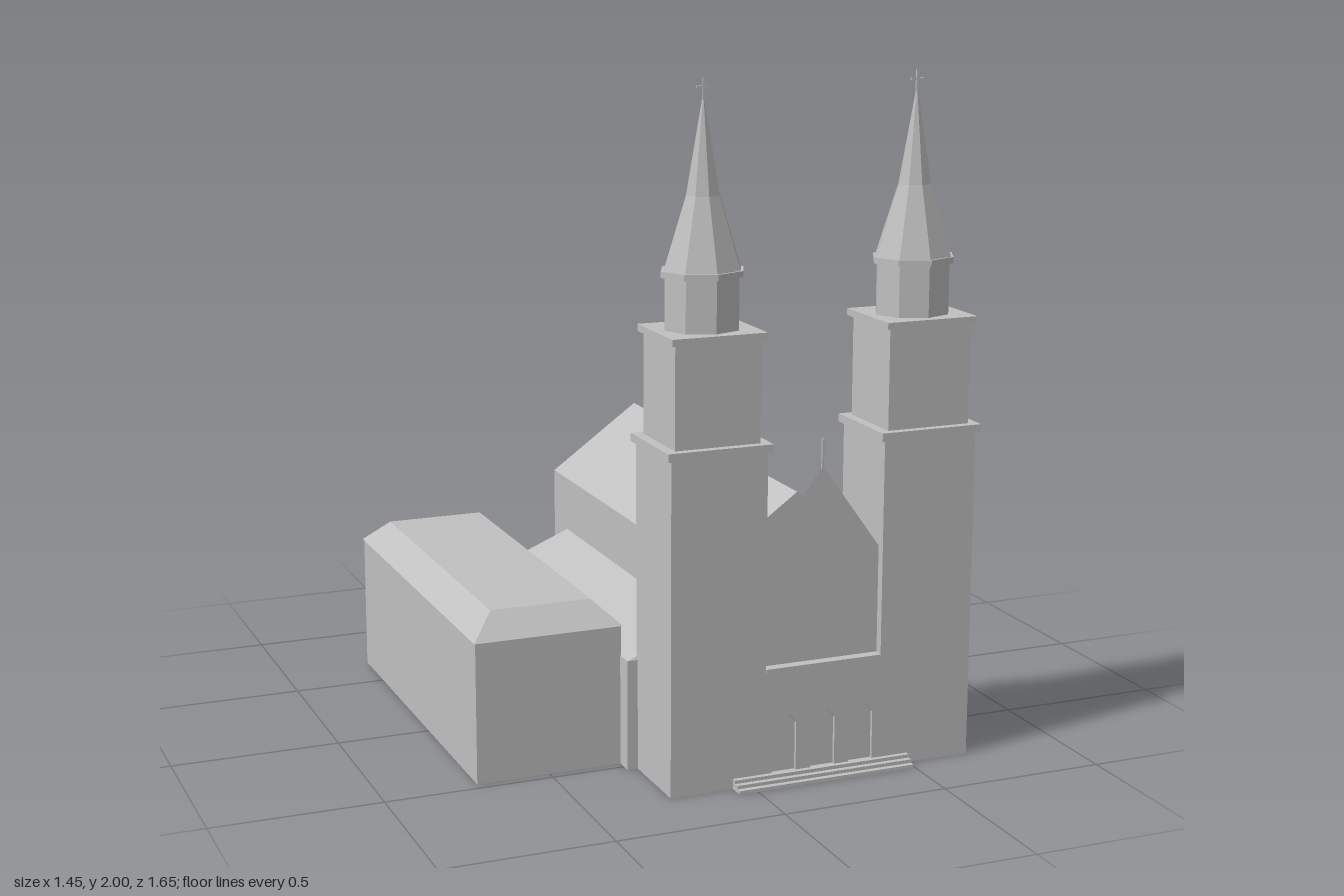
import * as THREE from 'three';

const stone = new THREE.MeshStandardMaterial({ color: 0xc0c0c0, side: THREE.DoubleSide });
stone.name = 'pale grey stone';

function add(parent, name, geometry) {
  const mesh = new THREE.Mesh(geometry, stone);
  mesh.name = name;
  parent.add(mesh);
  return mesh;
}

// Box given by its limits on each axis
function block(parent, name, x0, x1, y0, y1, z0, z1) {
  const g = new THREE.BoxGeometry(x1 - x0, y1 - y0, z1 - z0);
  g.translate((x0 + x1) / 2, (y0 + y1) / 2, (z0 + z1) / 2);
  return add(parent, name, g);
}

function outline(points) {
  return new THREE.Shape(points.map(([x, y]) => new THREE.Vector2(x, y)));
}

// Upright outline in x and y, pushed from z0 to z1
function prism(parent, name, points, z0, z1, holes = []) {
  const shape = outline(points);
  shape.holes = holes;
  const g = new THREE.ExtrudeGeometry(shape, { depth: z1 - z0, bevelEnabled: false });
  g.translate(0, 0, z0);
  return add(parent, name, g);
}

// Leaves a mesh hollow by removing its level faces at the given heights
function hollow(mesh, ...levels) {
  const source = mesh.geometry.index ? mesh.geometry.toNonIndexed() : mesh.geometry;
  const p = source.attributes.position;
  const kept = [];
  for (let i = 0; i < p.count; i += 3) {
    const flat = levels.some((y) => [0, 1, 2].every((k) => Math.abs(p.getY(i + k) - y) < 1e-5));
    if (flat) continue;
    for (let k = i; k < i + 3; k++) kept.push(p.getX(k), p.getY(k), p.getZ(k));
  }
  mesh.geometry = new THREE.BufferGeometry();
  mesh.geometry.setAttribute('position', new THREE.Float32BufferAttribute(kept, 3));
  mesh.geometry.computeVertexNormals();
}

function makeTower(x) {
  const tower = new THREE.Group();
  tower.name = 'tower';
  tower.position.set(x, 0, 0.647);
  // Stacked square stages: name, half width, half depth, bottom, top
  for (const [name, w, d, y0, y1] of [
    ['towerShaft', 0.145, 0.129, 0, 0.973],
    ['lowerCornice', 0.158, 0.139, 0.973, 0.997],
    ['upperStage', 0.128, 0.114, 0.997, 1.29],
    ['upperCornice', 0.142, 0.127, 1.29, 1.31],
  ]) {
    const stage = block(tower, name, -w, w, y0, y1, -d, d);
    if (y0 === 0) hollow(stage, 0);
  }

  // Octagonal belfry, eaves ring and flared spire
  for (const [name, r0, r1, y0, y1] of [
    ['belfry', 0.112, 0.112, 1.31, 1.458],
    ['eavesRing', 0.124, 0.124, 1.458, 1.476],
    ['spireFoot', 0.116, 0.05, 1.476, 1.68],
    ['spireTop', 0.05, 0.002, 1.68, 1.95],
  ]) {
    const g = new THREE.CylinderGeometry(r1, r0, y1 - y0, 8).toNonIndexed();
    g.scale(1, 1, 0.89);
    g.translate(0, (y0 + y1) / 2, 0);
    g.computeVertexNormals();
    add(tower, name, g);
  }
  block(tower, 'crossPost', -0.003, 0.003, 1.94, 2, -0.003, 0.003);
  block(tower, 'crossArm', -0.02, 0.02, 1.972, 1.978, -0.003, 0.003);
  return tower;
}

// Pointed doorway outline
function lancet(x) {
  const p = new THREE.Path();
  p.moveTo(x - 0.038, 0.03);
  p.lineTo(x - 0.038, 0.172);
  p.quadraticCurveTo(x - 0.024, 0.194, x, 0.21);
  p.quadraticCurveTo(x + 0.024, 0.194, x + 0.038, 0.172);
  p.lineTo(x + 0.038, 0.03);
  p.closePath();
  return p;
}

// Flat-topped hipped roof: a box with its top corners drawn in
function hipRoof(parent, name, x0, x1, y0, y1, z0, z1, inset) {
  const roof = block(parent, name, x0, x1, y0, y1, z0, z1);
  const g = roof.geometry.toNonIndexed();
  const p = g.attributes.position;
  for (let i = 0; i < p.count; i++) {
    if (p.getY(i) < (y0 + y1) / 2) continue;
    p.setX(i, p.getX(i) < (x0 + x1) / 2 ? x0 + inset : x1 - inset);
    p.setZ(i, p.getZ(i) < (z0 + z1) / 2 ? z0 + inset : z1 - inset);
  }
  g.computeVertexNormals();
  roof.geometry = g;
}

// Lean-to aisle: open-topped walls under a single sloping roof sheet
function makeAisle(name, inner, outer) {
  const aisle = new THREE.Group();
  aisle.name = name;
  const z0 = -0.56, z1 = 0.528;
  const walls = block(aisle, 'aisleWalls', Math.min(inner, outer), Math.max(inner, outer), 0, 0.33, z0, z1);
  hollow(walls, 0, 0.33);
  const [a, ya, b, yb] = inner < outer ? [inner, 0.42, outer, 0.33] : [outer, 0.33, inner, 0.42];
  const g = new THREE.BufferGeometry();
  g.setAttribute('position', new THREE.Float32BufferAttribute(
    [a, ya, z0, a, ya, z1, b, yb, z1, b, yb, z0], 3));
  g.setIndex([0, 1, 2, 0, 2, 3]);
  g.computeVertexNormals();
  add(aisle, 'aisleRoof', g);
  return aisle;
}

export function createModel() {
  const church = new THREE.Group();
  church.name = 'church';
  const mid = 0.222;

  // Twin towers
  for (const x of [-0.104, 0.549]) church.add(makeTower(x));

  // Entrance front between the towers, with the gable set back
  const front = new THREE.Group();
  front.name = 'facade';
  church.add(front);
  const left = 0.041, right = 0.404;
  hollow(block(front, 'doorBacking', left, right, 0, 0.33, 0.748, 0.766), 0);
  hollow(prism(front, 'doorWall', [[left, 0], [right, 0], [right, 0.33], [left, 0.33]],
    0.766, 0.776, [0.1, mid, 0.343].map(lancet)), 0);
  block(front, 'stringCourse', left, right, 0.33, 0.343, 0.748, 0.781);
  const gable = new THREE.ShapeGeometry(outline(
    [[left, 0.343], [right, 0.343], [right, 0.66], [mid, 0.912], [left, 0.66]]));
  gable.translate(0, 0, 0.75);
  add(front, 'gableWall', gable);
  block(front, 'gableFinial', mid - 0.003, mid + 0.003, 0.9, 0.99, 0.747, 0.753);
  [0.823, 0.807, 0.791].forEach((z, i) =>
    block(front, 'step', -0.058, 0.495, i * 0.01, i * 0.01 + 0.01, 0.776, z));

  // Nave with a pitched roof
  const naveLeft = 0.506, naveRight = -0.064;
  hollow(prism(church, 'nave', [[naveRight, 0], [naveLeft, 0], [naveLeft, 0.592], [mid, 0.797], [naveRight, 0.592]],
    -0.68, 0.588), 0);

  church.add(makeAisle('leftAisle', naveLeft, 0.724));
  church.add(makeAisle('rightAisle', naveRight, -0.281));

  // Rounded apse, half sunk into the rear wall
  for (const [name, top, y0, y1] of [['apse', 0.23, 0, 0.45], ['apseRoof', 0, 0.45, 0.551]]) {
    const g = new THREE.CylinderGeometry(top, 0.23, y1 - y0, 10, 1, true);
    g.rotateY(Math.PI / 10);
    g.scale(1, 1, 0.887);
    g.translate(mid, (y0 + y1) / 2, -0.63);
    add(church, name, g);
  }

  // Side hall with a hipped roof
  hollow(block(church, 'sideHall', -0.719, -0.278, 0, 0.42, -0.689, 0.472), 0);
  hipRoof(church, 'sideHallRoof', -0.723, -0.274, 0.42, 0.49, -0.693, 0.477, 0.073);

  return church;
}
